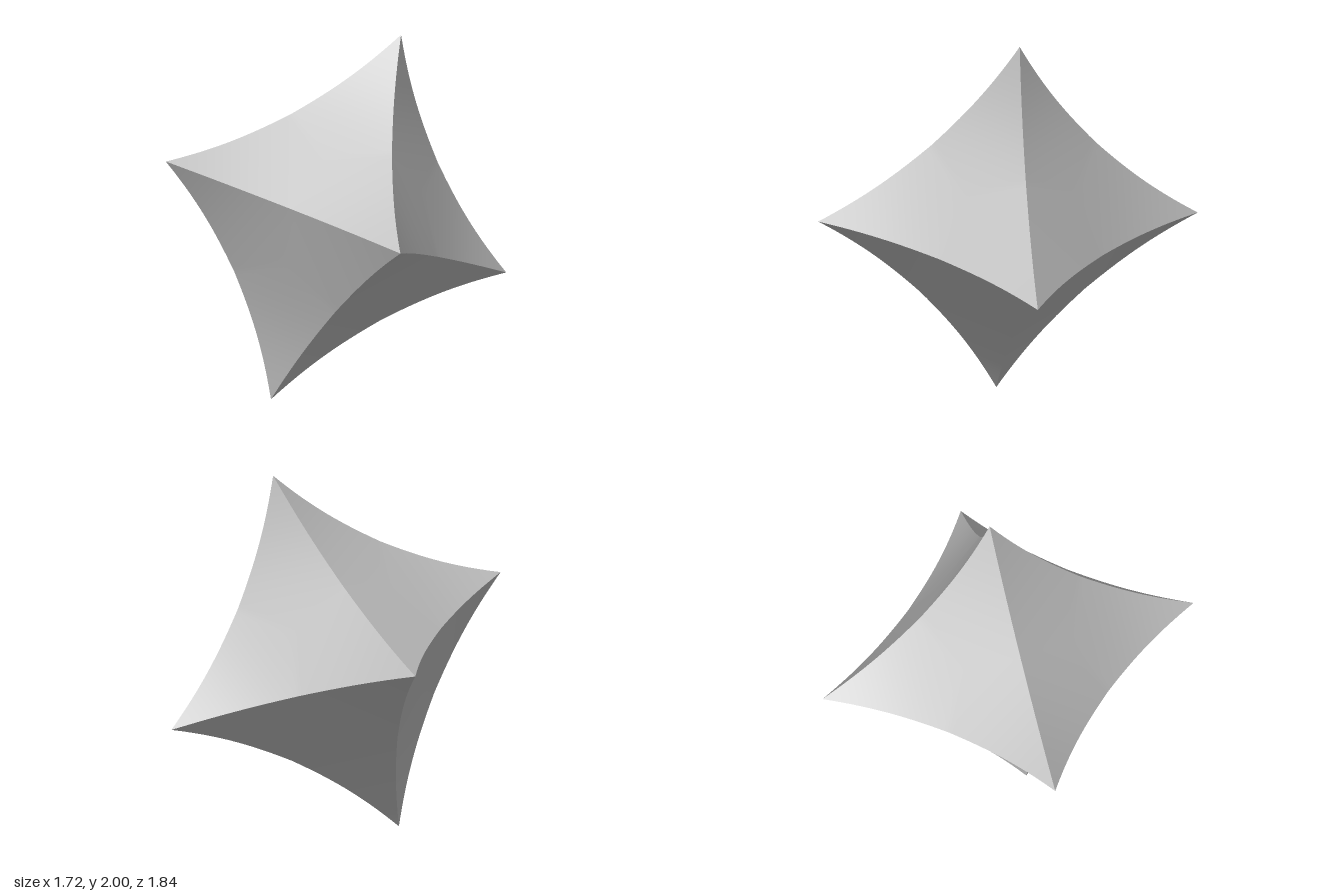
import * as THREE from 'three';

// Three perpendicular axes of the tilted eight-sided star
const AXES = [
  new THREE.Vector3(0.33, 1, 0.19),
  new THREE.Vector3(-0.53, 0, 0.92),
  new THREE.Vector3(0.86, -0.38, 0.5),
];
const STEPS = 48; // grid divisions along each edge
const CORE = 0.86; // size of the flat body relative to the tips
const FLARE = 5; // how sharply the tips draw out

// One triangular face, pinched inward away from its three tips
function faceGeometry(a, b, c) {
  const positions = [];
  const index = [];
  const id = (i, j) => (i * (i + 1)) / 2 + j;
  for (let i = 0; i <= STEPS; i++) {
    for (let j = 0; j <= i; j++) {
      const u = 1 - i / STEPS;
      const v = (i - j) / STEPS;
      const w = j / STEPS;
      const scale = CORE + (1 - CORE) * Math.max(u, v, w) ** FLARE;
      const p = new THREE.Vector3()
        .addScaledVector(a, u * scale)
        .addScaledVector(b, v * scale)
        .addScaledVector(c, w * scale);
      positions.push(p.x, p.y, p.z);
      if (i < STEPS) index.push(id(i, j), id(i + 1, j), id(i + 1, j + 1));
      if (i < STEPS && j < i) index.push(id(i, j), id(i + 1, j + 1), id(i, j + 1));
    }
  }
  const geometry = new THREE.BufferGeometry();
  geometry.setAttribute('position', new THREE.Float32BufferAttribute(positions, 3));
  geometry.setIndex(index);
  geometry.computeVertexNormals();
  return geometry;
}

export function createModel() {
  const group = new THREE.Group();
  group.name = 'concaveOctahedron';
  const grey = new THREE.MeshStandardMaterial({ color: 0xbfbfbf });
  grey.name = 'grey';

  // Eight faces, one per octant; separate meshes keep the ridges sharp
  for (const sa of [1, -1]) {
    for (const sb of [1, -1]) {
      for (const sc of [1, -1]) {
        const a = AXES[0].clone().multiplyScalar(sa);
        const b = AXES[1].clone().multiplyScalar(sb);
        const c = AXES[2].clone().multiplyScalar(sc);
        const outward = sa * sb * sc > 0;
        const face = new THREE.Mesh(outward ? faceGeometry(a, b, c) : faceGeometry(a, c, b), grey);
        face.name = 'curvedFace' + (group.children.length + 1);
        face.position.y = 1;
        group.add(face);
      }
    }
  }
  return group;
}
